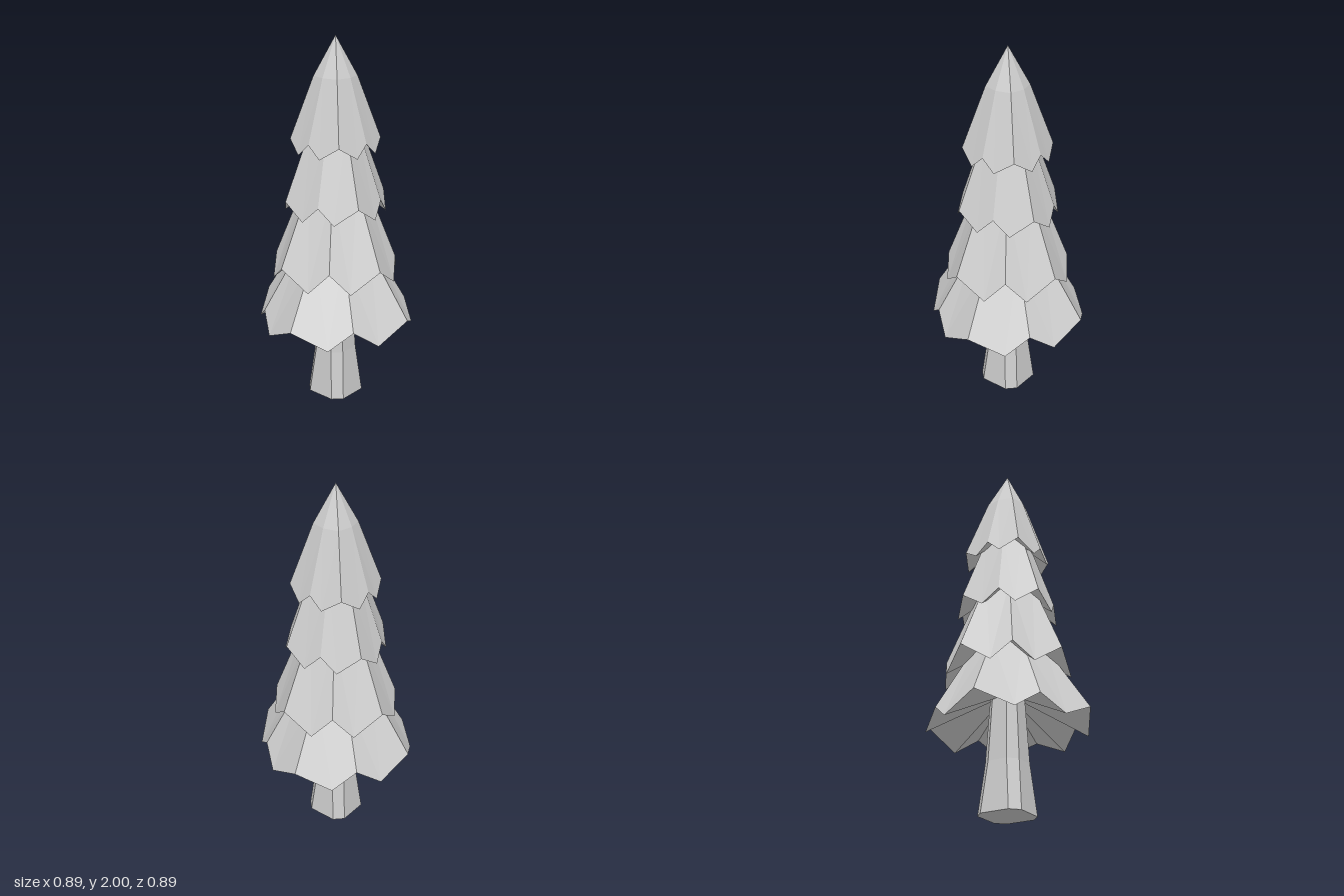
import * as THREE from 'three';

const grey = new THREE.MeshStandardMaterial({ color: 0xcccccc });
grey.name = 'pale grey';

// Builds a faceted mesh from a list of triangles, each three Vector3 corners
function facetMesh(name, triangles) {
  const geometry = new THREE.BufferGeometry().setFromPoints(triangles.flat());
  geometry.computeVertexNormals();
  const mesh = new THREE.Mesh(geometry, grey);
  mesh.name = name;
  return mesh;
}

const polar = (degrees, r, y) => {
  const t = THREE.MathUtils.degToRad(degrees);
  return new THREE.Vector3(Math.cos(t) * r, y, Math.sin(t) * r);
};

// One skirt of branches: eight panels, each ending in a low tip between two notches
function branchTier(name, { turn, r, notchY, tipY, kinkY, apexY }) {
  const triangles = [];
  const apex = new THREE.Vector3(0, apexY, 0);
  const core = new THREE.Vector3(0, notchY + 0.13, 0);
  const notchRadius = (i) => r * (i % 2 ? 0.885 : 1);
  for (let i = 0; i < 8; i++) {
    const a0 = turn + i * 45;
    const a1 = a0 + 45;
    const tipAngle = i % 2 ? a1 - 26 : a0 + 26;
    const k0 = polar(a0, notchRadius(i) * 0.48, kinkY);
    const k1 = polar(a1, notchRadius(i + 1) * 0.48, kinkY);
    const n0 = polar(a0, notchRadius(i), notchY);
    const n1 = polar(a1, notchRadius(i + 1), notchY);
    const tip = polar(tipAngle, r * 0.938, tipY);
    triangles.push(
      [apex, k1, k0],
      [k0, tip, n0], [k0, k1, tip], [k1, n1, tip],
      [core, n0, tip], [core, tip, n1], // underside
    );
  }
  return facetMesh(name, triangles);
}

// Eight-sided trunk that flares towards the ground
function trunk() {
  const rings = [[0, 0.08, 0.127], [0.27, 0.054, 0.1], [0.7, 0.04, 0.075]].map(([y, a, b]) =>
    [[b, -a], [b, a], [a, b], [-a, b], [-b, a], [-b, -a], [-a, -b], [a, -b]]
      .map(([x, z]) => new THREE.Vector3(x, y, z)));
  const triangles = [];
  const base = new THREE.Vector3();
  for (let i = 0; i < 8; i++) {
    const j = (i + 1) % 8;
    triangles.push([base, rings[0][i], rings[0][j]]);
    for (let k = 0; k < 2; k++) {
      const low = rings[k], high = rings[k + 1];
      triangles.push([high[i], high[j], low[i]], [high[j], low[j], low[i]]);
    }
  }
  return facetMesh('trunk', triangles);
}

export function createModel() {
  const tree = new THREE.Group();
  tree.name = 'pineTree';
  tree.add(
    trunk(),
    branchTier('bottomBranches', { turn: -9.5, r: 0.449, notchY: 0.52, tipY: 0.43, kinkY: 0.88, apexY: 1.1 }),
    branchTier('lowerBranches', { turn: 9.8, r: 0.366, notchY: 0.817, tipY: 0.71, kinkY: 1.24, apexY: 1.5 }),
    branchTier('upperBranches', { turn: 24.8, r: 0.287, notchY: 1.15, tipY: 1.066, kinkY: 1.54, apexY: 1.75 }),
    branchTier('topBranches', { turn: 45, r: 0.237, notchY: 1.465, tipY: 1.4, kinkY: 1.793, apexY: 2 }),
  );
  return tree;
}
